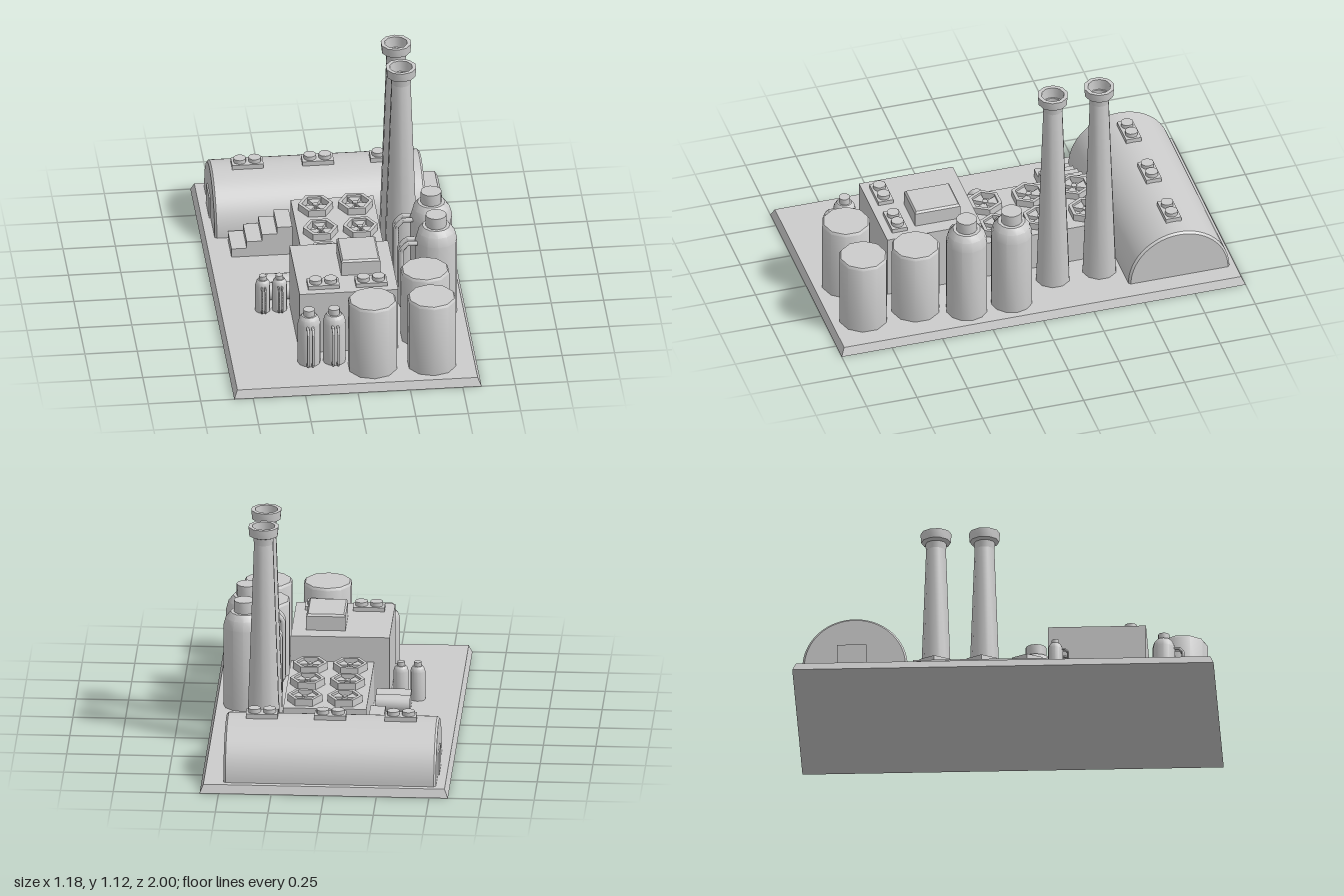
import * as THREE from 'three';
import { toCreasedNormals } from 'three/addons/utils/BufferGeometryUtils.js';

const material = new THREE.MeshStandardMaterial({ color: 0xcccccc, side: THREE.DoubleSide });
const GROUND = 0.04;

function add(parent, name, geometry, x = 0, y = 0, z = 0, crease = 0.65) {
  const mesh = new THREE.Mesh(toCreasedNormals(geometry, crease), material);
  mesh.name = name;
  mesh.position.set(x, y, z);
  parent.add(mesh);
  return mesh;
}

// Box given by its limits on each axis
function block(parent, name, x0, x1, y0, y1, z0, z1) {
  return add(parent, name, new THREE.BoxGeometry(x1 - x0, y1 - y0, z1 - z0),
    (x0 + x1) / 2, (y0 + y1) / 2, (z0 + z1) / 2);
}

// Box whose upper corners are pulled inwards
function taperedBlock(parent, name, w, h, d, inset, x, y, z) {
  const g = new THREE.BoxGeometry(w, h, d);
  const p = g.attributes.position;
  for (let i = 0; i < p.count; i++) {
    if (p.getY(i) > 0) {
      p.setX(i, p.getX(i) - Math.sign(p.getX(i)) * inset);
      p.setZ(i, p.getZ(i) - Math.sign(p.getZ(i)) * inset);
    }
  }
  return add(parent, name, g, x, y + h / 2, z);
}

function lathe(points, sides) {
  return new THREE.LatheGeometry(points.map(([r, y]) => new THREE.Vector2(r, y)), sides);
}

function group(parent, name, x, y, z) {
  const g = new THREE.Group();
  g.name = name;
  g.position.set(x, y, z);
  parent.add(g);
  return g;
}

// Roof plate with two round outlets
function roofVent(parent, x, y, z) {
  const g = group(parent, 'roofVent', x, y, z);
  add(g, 'ventPlate', new THREE.BoxGeometry(0.15, 0.04, 0.075), 0, 0, 0);
  for (const s of [-1, 1]) {
    add(g, 'ventOutlet', new THREE.CylinderGeometry(0.03, 0.03, 0.02, 12), s * 0.036, 0.03, 0);
  }
}

// Hexagonal cooling fan: open frame, three blades and a hub
function fan(parent, x, y, z) {
  const g = group(parent, 'coolingFan', x, y, z);
  const frame = lathe([[0.065, 0], [0.083, 0], [0.083, 0.035], [0.065, 0.035], [0.065, 0]], 6);
  add(g, 'fanFrame', frame, 0, 0, 0, 0.3).rotation.y = Math.PI / 6;
  const shape = new THREE.Shape();
  shape.moveTo(-0.008, 0.01);
  shape.lineTo(0.008, 0.01);
  shape.lineTo(0.032, 0.058);
  shape.lineTo(-0.032, 0.058);
  shape.closePath();
  const blade = new THREE.ExtrudeGeometry(shape, { depth: 0.02, bevelEnabled: false }).rotateX(-Math.PI / 2);
  for (let i = 0; i < 3; i++) {
    add(g, 'fanBlade', blade, 0, 0.003, 0).rotation.y = i * Math.PI * 2 / 3;
  }
  add(g, 'fanHub', new THREE.CylinderGeometry(0.015, 0.015, 0.03, 6), 0, 0.015, 0);
}

// Shouldered pressure tank with a pair of pipes on its +z side
function pressureTank(parent, x, z, scale, turn) {
  const g = group(parent, 'pressureTank', x, GROUND, z);
  g.scale.setScalar(scale);
  g.rotation.y = turn;
  add(g, 'tankBody', lathe([[0, 0], [0.1, 0], [0.1, 0.4], [0.088, 0.445], [0.066, 0.473],
    [0.05, 0.473], [0.05, 0.53], [0, 0.53]], 12), 0, 0, 0, 0.53);
  const path = new THREE.CurvePath();
  const pts = [[0.39, 0.07], [0.39, 0.14], [0.355, 0.17], [0.06, 0.17], [0.025, 0.14], [0.025, 0.07]]
    .map(([y, d]) => new THREE.Vector3(0, y, d));
  for (let i = 1; i < pts.length; i++) path.add(new THREE.LineCurve3(pts[i - 1], pts[i]));
  for (const s of [-1, 1]) {
    add(g, 'tankPipe', new THREE.TubeGeometry(path, 40, 0.013, 6), s * 0.022, 0, 0, 1.1);
  }
}

export function createModel() {
  const model = new THREE.Group();
  model.name = 'powerPlant';

  taperedBlock(model, 'basePlate', 1.18, GROUND, 2, 0.017, 0, 0, 0);

  // Arched hall with door and roof vents
  const arch = new THREE.Shape();
  arch.absarc(0, 0, 0.24, 0, Math.PI);
  arch.closePath();
  const hall = new THREE.ExtrudeGeometry(arch, {
    depth: 0.99, curveSegments: 20, bevelSize: 0.01, bevelThickness: 0.01, bevelSegments: 1,
  }).rotateY(Math.PI / 2);
  add(model, 'archedHall', hall, -0.52, GROUND, -0.705, 0.5);
  block(model, 'hallDoor', -0.537, -0.52, GROUND, 0.15, -0.79, -0.65);
  for (const x of [-0.35, -0.015, 0.31]) roofVent(model, x, 0.29, -0.705);

  // Cooling block with its six fans
  block(model, 'coolingBlock', -0.17, 0.225, GROUND, 0.235, -0.445, 0.2);
  for (const x of [-0.062, 0.128]) {
    for (const z of [-0.345, -0.12, 0.095]) fan(model, x, 0.235, z);
  }

  // Stepped blocks beside the cooling block
  for (let i = 0; i < 4; i++) {
    const x = -0.47 + i * 0.0725;
    block(model, 'steppedBlock', x, x + 0.0725, GROUND, 0.085 + i * 0.035, -0.44, -0.27);
  }

  // Main building with roof unit and vents
  block(model, 'mainBuilding', -0.243, 0.227, GROUND, 0.36, 0.2, 0.665);
  block(model, 'roofUnit', -0.028, 0.158, 0.36, 0.43, 0.283, 0.507);
  taperedBlock(model, 'roofUnitCap', 0.186, 0.01, 0.224, 0.008, 0.065, 0.43, 0.395);
  for (const x of [-0.123, 0.105]) roofVent(model, x, 0.36, 0.59);

  // Hollow chimneys
  const chimney = lathe([[0, 0], [0.083, 0], [0.046, 1.025], [0.07, 1.035], [0.074, 1.08],
    [0.055, 1.08], [0.048, 1.0], [0.042, 0.95], [0, 0.95]], 10);
  for (const z of [-0.355, -0.125]) add(model, 'chimney', chimney, 0.323, GROUND, z);

  // Storage tanks
  const tank = lathe([[0, 0], [0.118, 0], [0.118, 0.358], [0.11, 0.37], [0, 0.37]], 10);
  for (const [x, z] of [[0.087, 0.828], [0.37, 0.828], [0.365, 0.567]]) {
    add(model, 'storageTank', tank, x, GROUND, z);
  }

  // Pressure tanks in three sizes
  for (const z of [0.115, 0.337]) pressureTank(model, 0.442, z, 1, -Math.PI / 2);
  for (const x of [-0.207, -0.087]) pressureTank(model, x, 0.748, 0.54, 0);
  for (const x of [-0.375, -0.295]) pressureTank(model, x, 0.24, 0.355, 0);

  // Lying cylinders
  const drum = new THREE.CylinderGeometry(0.042, 0.042, 0.165, 14).rotateZ(Math.PI / 2);
  for (const z of [0.057, 0.14]) add(model, 'lyingDrum', drum, -0.268, GROUND + 0.042, z);

  return model;
}
